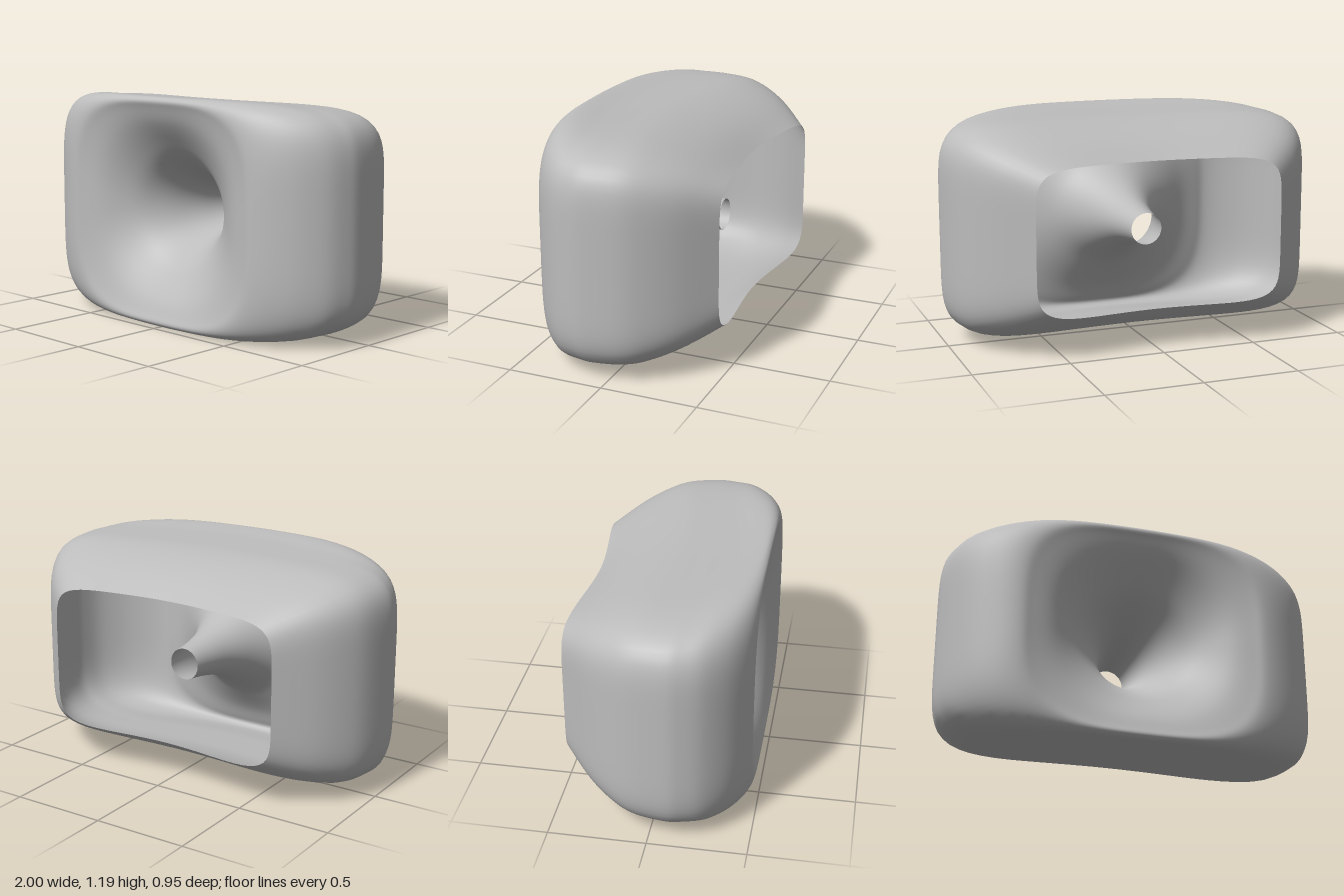
import * as THREE from 'three';

// Cross-section loops from the funnel throat, over the front lip, to the rear opening:
// [half width, half height, z at the sides, z at top and bottom, squareness]
const LOOPS = [
  [0.083, 0.083, -0.25, -0.25, 2],
  [0.10, 0.10, -0.12, -0.12, 2],
  [0.135, 0.135, 0.02, 0.02, 2],
  [0.20, 0.20, 0.16, 0.16, 2],
  [0.29, 0.28, 0.28, 0.28, 2],
  [0.38, 0.37, 0.36, 0.36, 2.2],
  [0.48, 0.46, 0.425, 0.425, 2.6],
  [0.58, 0.535, 0.46, 0.46, 3.2],
  [0.65, 0.567, 0.472, 0.472, 3.8],
  [0.75, 0.585, 0.44, 0.462, 4.5],
  [0.86, 0.593, 0.37, 0.44, 5.2],
  [0.95, 0.589, 0.27, 0.39, 6],
  [0.99, 0.577, 0.17, 0.29, 6.5],
  [1.0, 0.569, 0.08, 0.15, 7],
  [0.975, 0.558, -0.08, 0.0, 7],
  [0.92, 0.523, -0.2, -0.15, 7],
  [0.82, 0.465, -0.33, -0.29, 7],
  [0.66, 0.382, -0.475, -0.42, 7],
];
const CENTRE_Y = 0.596;
const STEPS = 5;      // rows between two loops
const AROUND = 144;   // points in each loop

// Smooth value between loops
function loopAt(t) {
  const last = LOOPS.length - 1;
  const i = Math.min(Math.floor(t), last - 1);
  const f = t - i;
  const p = [i - 1, i, i + 1, i + 2].map((k) => LOOPS[THREE.MathUtils.clamp(k, 0, last)]);
  return p[1].map((_, k) => {
    const m1 = (p[2][k] - p[0][k]) / 2;
    const m2 = (p[3][k] - p[1][k]) / 2;
    const d = p[2][k] - p[1][k];
    return p[1][k] + f * (m1 + f * (3 * d - 2 * m1 - m2 + f * (m1 + m2 - 2 * d)));
  });
}

function shellGeometry() {
  const rows = (LOOPS.length - 1) * STEPS;
  const positions = [];
  const index = [];
  for (let r = 0; r <= rows; r++) {
    const [a, b, zSide, zTop, n] = loopAt(r / STEPS);
    for (let j = 0; j < AROUND; j++) {
      const angle = (j / AROUND) * Math.PI * 2;
      const c = Math.cos(angle);
      const s = Math.sin(angle);
      const k = Math.pow(Math.abs(c) ** n + Math.abs(s) ** n, -1 / n);
      const u = Math.min(Math.abs(c * k), 1);
      const w = u * u * (3 - 2 * u);
      positions.push(a * c * k, CENTRE_Y + b * s * k, THREE.MathUtils.lerp(zTop, zSide, w));
      if (r < rows) {
        const j2 = (j + 1) % AROUND;
        const p = r * AROUND + j;
        const q = r * AROUND + j2;
        index.push(p, p + AROUND, q + AROUND, p, q + AROUND, q);
      }
    }
  }
  const geometry = new THREE.BufferGeometry();
  geometry.setAttribute('position', new THREE.Float32BufferAttribute(positions, 3));
  geometry.setIndex(index);
  geometry.computeVertexNormals();
  return geometry;
}

export function createModel() {
  const group = new THREE.Group();
  group.name = 'funnelShell';
  const grey = new THREE.MeshStandardMaterial({ color: 0xbcbcbc, side: THREE.DoubleSide });
  grey.name = 'light grey';

  // One thin open skin: throat, funnel, lip and outer body
  const shell = new THREE.Mesh(shellGeometry(), grey);
  shell.name = 'shell';
  group.add(shell);
  return group;
}
